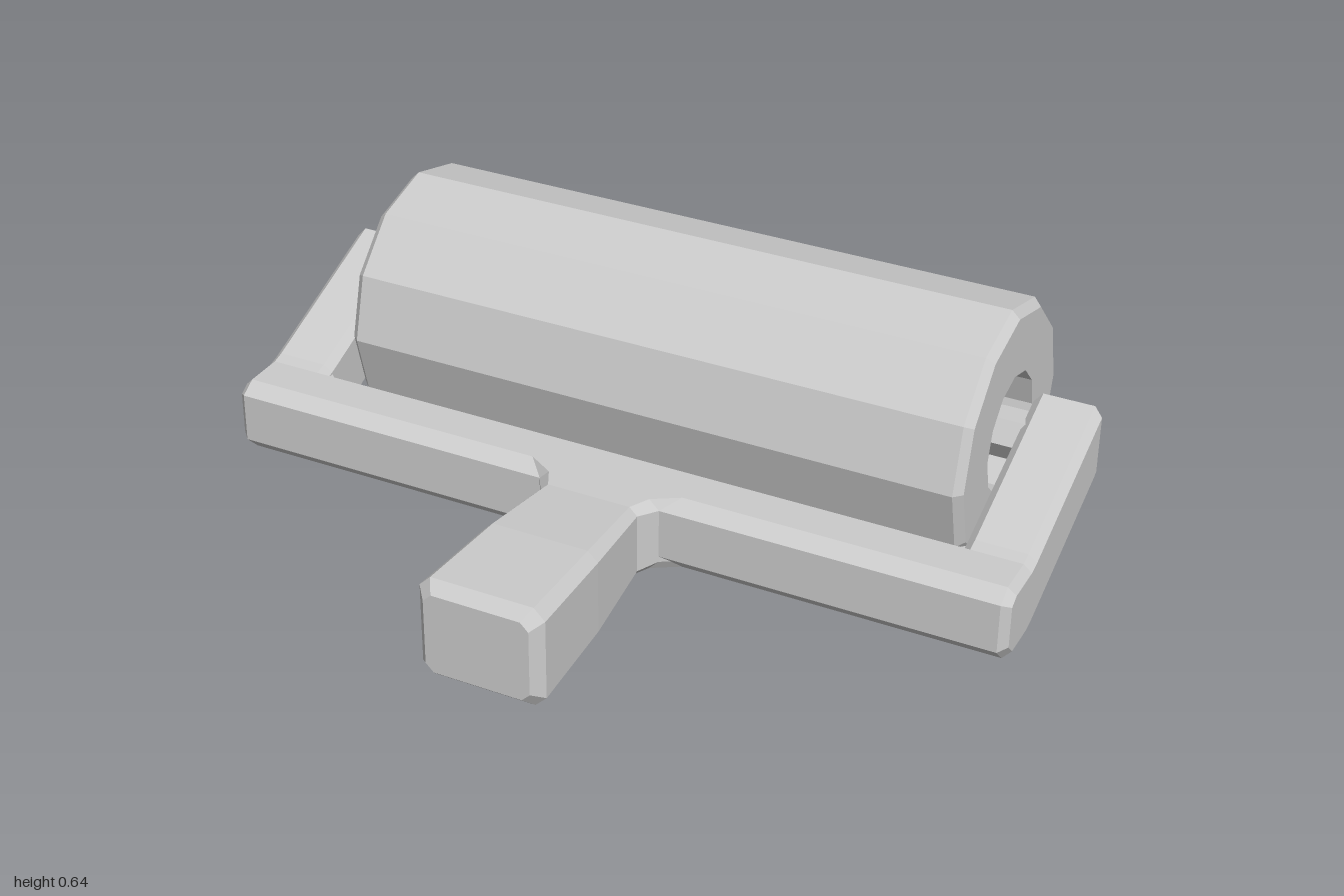
import * as THREE from 'three';

const material = new THREE.MeshStandardMaterial({ color: 0xcccccc, flatShading: true });

function addMesh(group, name, geometry) {
  const mesh = new THREE.Mesh(geometry, material);
  mesh.name = name;
  group.add(mesh);
  return mesh;
}

// Side profile given as [z, y], swept along x from x0 to x1 with chamfered ends
function sideExtrude(points, x0, x1, bevel) {
  const shape = new THREE.Shape(points.map(([z, y]) => new THREE.Vector2(-z, y)));
  const geometry = new THREE.ExtrudeGeometry(shape, {
    depth: x1 - x0 - 2 * bevel, bevelEnabled: true, bevelSegments: 1,
    bevelSize: bevel, bevelThickness: bevel, bevelOffset: -bevel,
  });
  return geometry.rotateY(Math.PI / 2).translate(x0 + bevel, 0, 0);
}

// Chamfered rectangular sections [z, halfWidth, bottom, top, chamfer] joined along z
function loftHandle(sections) {
  const positions = [], index = [], n = 8;
  for (const [z, w, b, t, c] of sections) {
    positions.push(
      w, b + c, z, w, t - c, z, w - c, t, z, c - w, t, z,
      -w, t - c, z, -w, b + c, z, c - w, b, z, w - c, b, z);
  }
  for (let s = 0; s < sections.length - 1; s++) {
    for (let i = 0; i < n; i++) {
      const a = s * n + i, b = s * n + (i + 1) % n;
      index.push(a, b, b + n, a, b + n, a + n);
    }
  }
  const last = (sections.length - 1) * n;
  for (let i = 1; i < n - 1; i++) index.push(last, last + i, last + i + 1);
  const geometry = new THREE.BufferGeometry();
  geometry.setAttribute('position', new THREE.Float32BufferAttribute(positions, 3));
  geometry.setIndex(index);
  geometry.computeVertexNormals();
  return geometry;
}

export function createModel() {
  const model = new THREE.Group();
  model.name = 'handRoller';
  const axisY = 0.325, axisZ = -0.39;

  // Twelve-sided hollow roller with chamfered rims
  const profile = [
    [0.15, -0.8], [0.3, -0.8], [0.32, -0.78], [0.32, 0.78],
    [0.3, 0.8], [0.15, 0.8], [0.15, -0.8],
  ].map(([r, h]) => new THREE.Vector2(r, h));
  const roller = addMesh(model, 'roller', new THREE.LatheGeometry(profile, 12).rotateZ(Math.PI / 2));
  roller.position.set(0, axisY, axisZ);

  // Hexagonal axle, ending inside the arms
  const axle = addMesh(model, 'axle',
    new THREE.CylinderGeometry(0.06, 0.06, 1.8, 6).rotateY(Math.PI / 2).rotateZ(Math.PI / 2));
  axle.rotation.x = Math.PI / 6 * (0);
  axle.geometry.rotateX(Math.PI / 2);
  axle.position.set(0, axisY, axisZ);

  // Cross bar with wide chamfers along its front edges
  addMesh(model, 'crossBar', sideExtrude([
    [0.14, 0.1], [0.14, 0.225], [0.1, 0.25], [0, 0.25],
    [-0.015, 0.235], [-0.015, 0.075], [0, 0.06], [0.1, 0.06],
  ], -1, 1, 0.02));

  // Side arms rising to the axle, with a small gusset in each inner corner
  const armProfile = [
    [0.06, 0.25], [0, 0.25], [-0.03, 0.258], [-0.44, 0.42], [-0.455, 0.405],
    [-0.455, 0.24], [-0.43, 0.225], [-0.03, 0.067], [0, 0.06], [0.06, 0.06],
  ];
  const gusset = new THREE.Shape([
    new THREE.Vector2(0.81, 0.012), new THREE.Vector2(0.845, 0.012), new THREE.Vector2(0.845, 0.045),
  ]);
  for (const side of [1, -1]) {
    const name = side > 0 ? 'left' : 'right';
    const x0 = side > 0 ? 0.835 : -1;
    addMesh(model, name + 'Arm', sideExtrude(armProfile, x0, x0 + 0.165, 0.02));
    const corner = new THREE.Shape(gusset.getPoints().map(p => new THREE.Vector2(side * p.x, p.y)));
    addMesh(model, name + 'Gusset',
      new THREE.ExtrudeGeometry(corner, { depth: 0.15, bevelEnabled: false })
        .rotateX(-Math.PI / 2).translate(0, 0.083, 0));
  }

  // Handle flaring into the bar and widening towards its chamfered end
  addMesh(model, 'handle', loftHandle([
    [0.1, 0.22, 0.06, 0.25, 0.025],
    [0.14, 0.155, 0.06, 0.25, 0.025],
    [0.19, 0.125, 0.06, 0.25, 0.02],
    [0.42, 0.145, 0.038, 0.273, 0.025],
    [0.68, 0.155, 0.028, 0.285, 0.028],
    [0.71, 0.13, 0.055, 0.26, 0.02],
  ]));

  return model;
}
